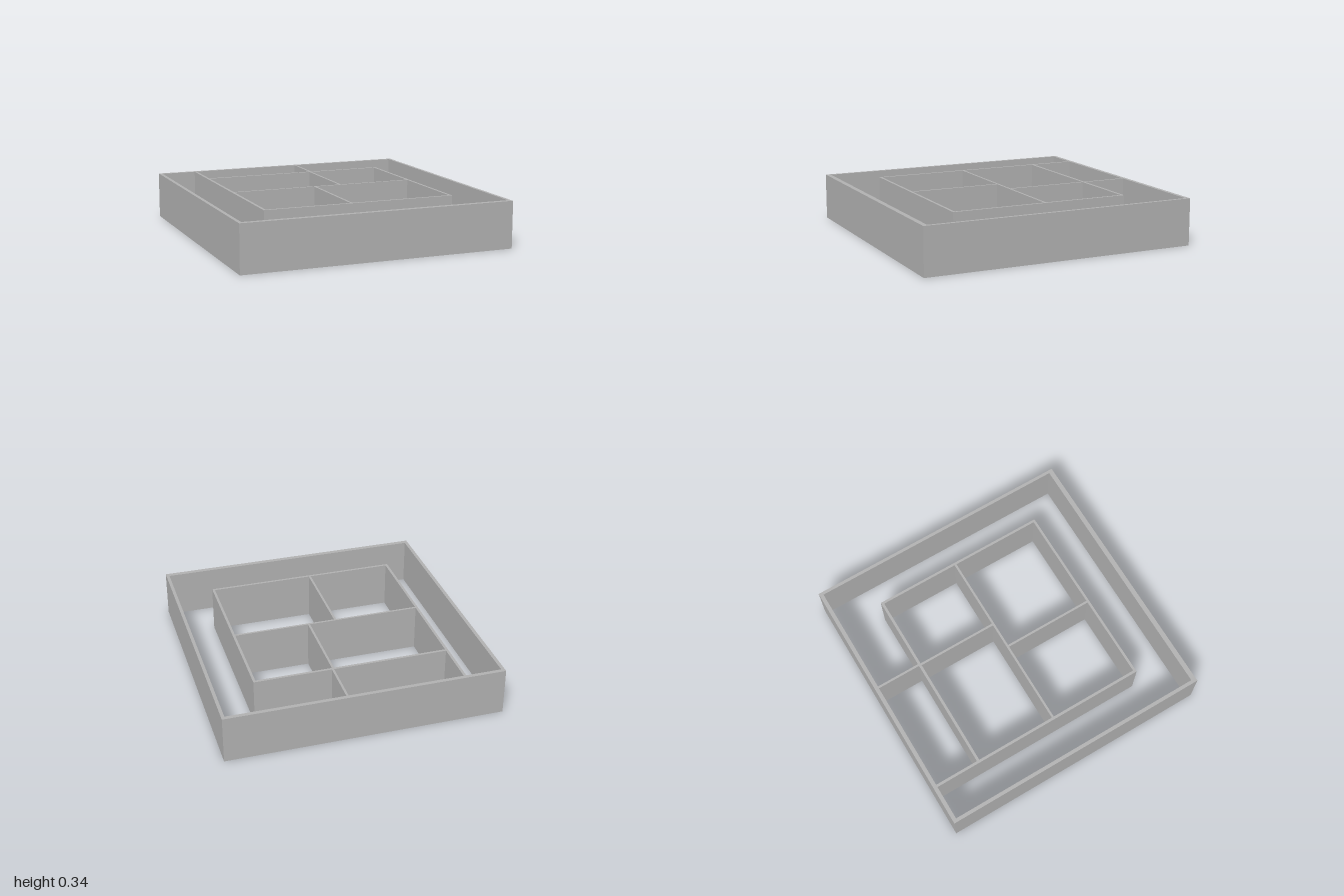
import * as THREE from 'three';

const HEIGHT = 0.337;

export function createModel() {
  const group = new THREE.Group();
  group.name = 'floorPlanWalls';
  const plaster = new THREE.MeshStandardMaterial({ color: 0xb0b0b0 });
  plaster.name = 'grey plaster';

  // Full-height wall filling the plan rectangle x0..x1, z0..z1
  const wall = (name, x0, x1, z0, z1) => {
    const mesh = new THREE.Mesh(new THREE.BoxGeometry(x1 - x0, HEIGHT, z1 - z0), plaster);
    mesh.position.set((x0 + x1) / 2, HEIGHT / 2, (z0 + z1) / 2);
    mesh.name = name;
    group.add(mesh);
  };

  // Outer enclosure
  wall('outerBackWall', -0.988, 0.988, -1, -0.972);
  wall('outerFrontWall', -0.988, 0.988, 0.965, 1);
  wall('outerRightWall', -0.988, -0.963, -0.972, 0.965);
  wall('outerLeftWall', 0.965, 0.988, -0.972, 0.965);

  // Inner house shell; its right wall runs on to the enclosure
  wall('innerRightWall', -0.708, -0.689, -0.972, 0.667);
  wall('innerLeftWall', 0.675, 0.693, -0.645, 0.667);
  wall('innerBackWall', -0.689, 0.675, -0.645, -0.626);
  wall('innerFrontWall', -0.689, 0.675, 0.649, 0.667);

  // Room partitions
  wall('middlePartition', -0.689, 0.675, -0.033, -0.017);
  wall('yardPartition', 0.127, 0.143, -0.972, -0.645);
  wall('backRoomPartition', 0.122, 0.138, -0.626, -0.033);
  wall('frontRoomPartition', -0.079, -0.063, -0.017, 0.649);

  return group;
}
